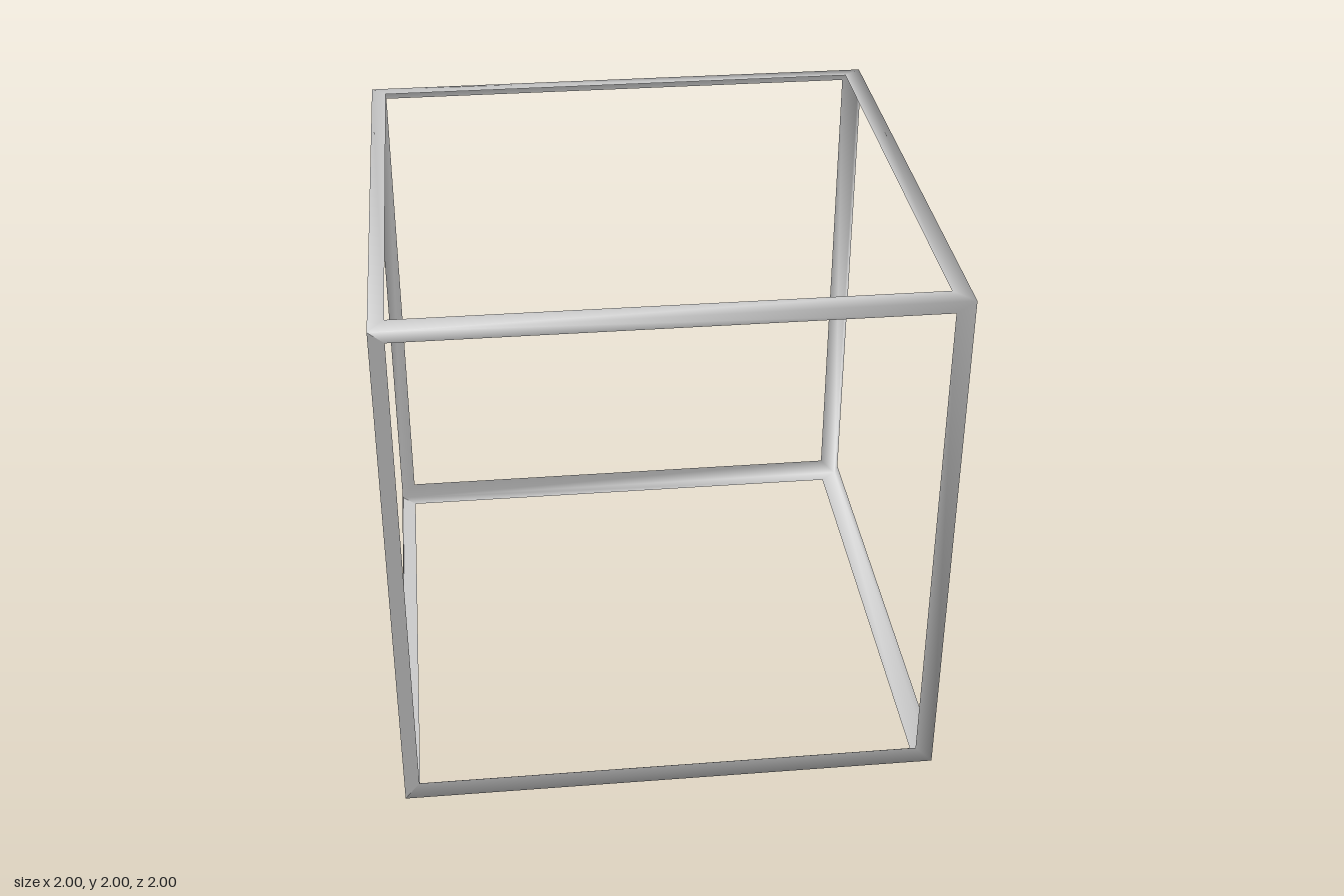
import * as THREE from 'three';

// Outer limits of the cube and limits of its openings, as [low, high] per axis x, y, z
const OUTER = [[-1, 1], [0, 2], [-1, 1]];
const INNER = [[-0.945, 0.933], [0.07, 1.957], [-0.945, 0.922]];
const SIDES = [['Right', 'Left'], ['Bottom', 'Top'], ['Back', 'Front']];
const DIRECTION = ['crosswise', 'upright', 'lengthwise'];

// Two of the bars have a hard corner, the rest are shaded smoothly around it
const HARD = ['uprightFrontRight', 'lengthwiseRightBottom'];

// Thin angle bar along one axis: two mitred strips that meet on the cube's edge
function angleBar(axis, b, sideB, c, sideC, hard) {
  const positions = [], normals = [], index = [];
  for (const [face, faceSide, inset, insetSide] of [[b, sideB, c, sideC], [c, sideC, b, sideB]]) {
    const faceNormal = new THREE.Vector3().setComponent(face, faceSide ? 1 : -1);
    const corner = (end, inner) => {
      const limits = inner ? INNER : OUTER;
      const p = new THREE.Vector3();
      p.setComponent(axis, limits[axis][end]);
      p.setComponent(inset, limits[inset][insetSide]);
      p.setComponent(face, OUTER[face][faceSide]);
      return p;
    };
    const points = [corner(0, false), corner(1, false), corner(1, true), corner(0, true)];
    const first = positions.length / 3;
    points.forEach((p, i) => {
      const n = faceNormal.clone();
      // Outer corners share one diagonal normal
      if (i < 2 && !hard) n.set(p.x, p.y - 1, p.z).normalize();
      positions.push(p.x, p.y, p.z);
      normals.push(n.x, n.y, n.z);
    });
    // Wind the strip so that it faces outward
    const turn = points[1].clone().sub(points[0]).cross(points[2].clone().sub(points[0]));
    const order = turn.dot(faceNormal) > 0 ? [0, 1, 2, 0, 2, 3] : [0, 2, 1, 0, 3, 2];
    index.push(...order.map((i) => first + i));
  }
  const geometry = new THREE.BufferGeometry();
  geometry.setAttribute('position', new THREE.Float32BufferAttribute(positions, 3));
  geometry.setAttribute('normal', new THREE.Float32BufferAttribute(normals, 3));
  geometry.setIndex(index);
  return geometry;
}

export function createModel() {
  const model = new THREE.Group();
  model.name = 'openCubeFrame';
  const material = new THREE.MeshStandardMaterial({ color: 0xcccccc, side: THREE.DoubleSide });

  // Four bars along each of the three axes
  for (let axis = 0; axis < 3; axis++) {
    const b = (axis + 1) % 3, c = (axis + 2) % 3;
    for (const sideB of [0, 1]) {
      for (const sideC of [0, 1]) {
        const name = DIRECTION[axis] + SIDES[b][sideB] + SIDES[c][sideC];
        const bar = new THREE.Mesh(angleBar(axis, b, sideB, c, sideC, HARD.includes(name)), material);
        bar.name = name + 'Bar';
        model.add(bar);
      }
    }
  }
  return model;
}
